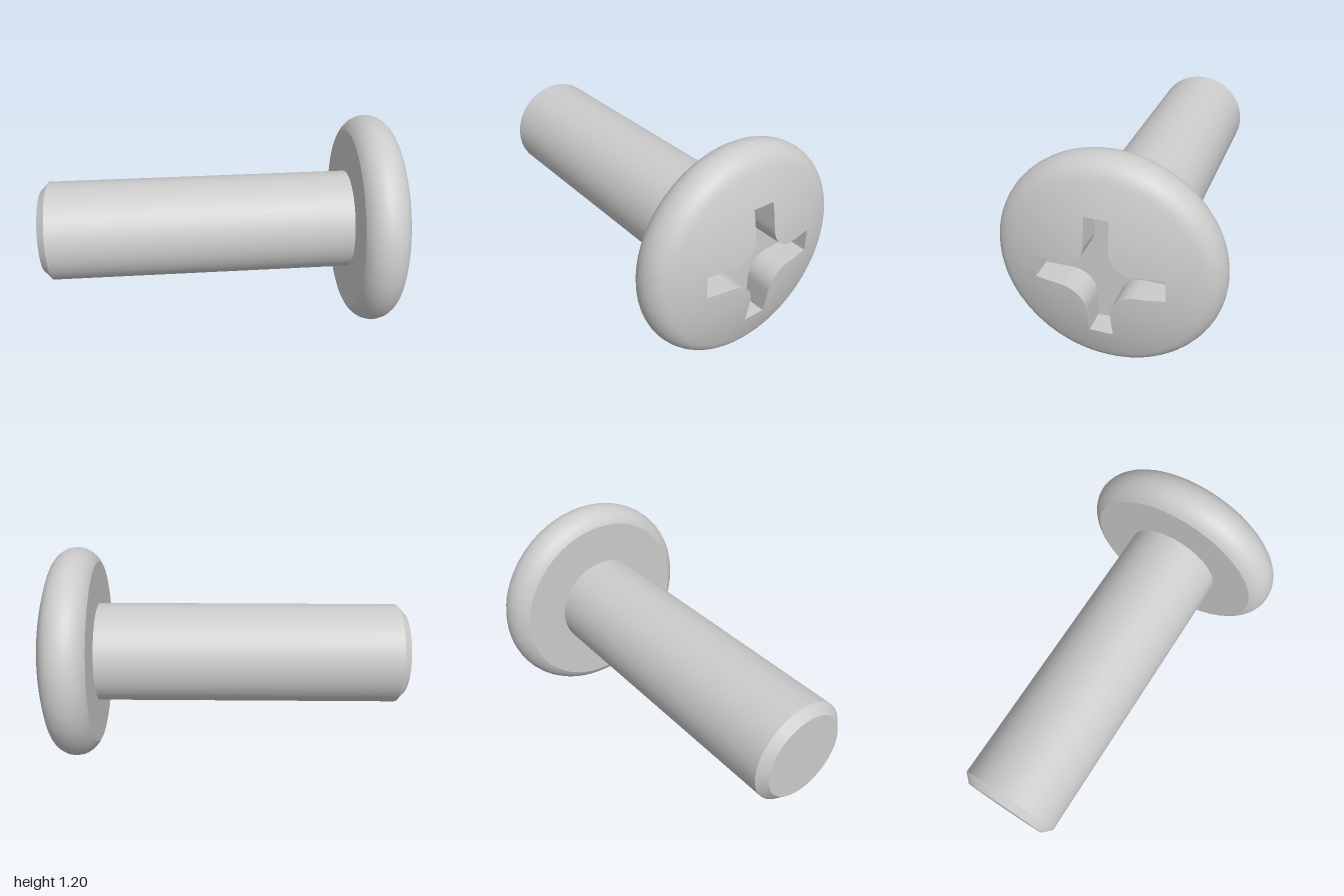
import * as THREE from 'three';
import { toCreasedNormals } from 'three/addons/utils/BufferGeometryUtils.js';

// Heights run along the screw axis, 0 at the start of the tail chamfer
const SHAFT_R = 0.282, UNDERSIDE = 1.705, APEX = 2.04, FLOOR = 1.874;
const RIM_C = 0.472, RIM_R = 0.13, RIM_Y = 1.825;   // circle that rounds the rim
const ARM_L = 0.337, ARM_W = 0.0625, FILLET = 0.1275; // cross recess

// Dome sphere: passes through the apex, tangent to the rim circle
const k = APEX - RIM_Y;
const DOME_R = (RIM_C ** 2 + k ** 2 - RIM_R ** 2) / (2 * (k - RIM_R));
const domeY = (r) => APEX - DOME_R + Math.sqrt(DOME_R ** 2 - r * r);

// Outline of the cross, one arm and one filleted inner corner per quarter turn
function crossOutline() {
  const quarter = [[ARM_L, 0], [ARM_L, ARM_W / 2], [ARM_L, ARM_W], [0.285, ARM_W], [0.235, ARM_W]];
  const c = ARM_W + FILLET, steps = 10;
  for (let i = 0; i <= steps; i++) {
    const t = -Math.PI / 2 * (1 + i / steps);
    quarter.push([c + FILLET * Math.cos(t), c + FILLET * Math.sin(t)]);
  }
  quarter.push([ARM_W, 0.235], [ARM_W, 0.285], [ARM_W, ARM_L], [ARM_W / 2, ARM_L]);
  const points = [];
  for (let q = 0; q < 4; q++) {
    for (const [x, z] of quarter) {
      points.push({ r: Math.hypot(x, z), a: Math.atan2(z, x) + q * Math.PI / 2 });
    }
  }
  return points;
}

// Head: rows go from the recess floor, up its wall, over the dome and rim, to the underside
function headGeometry() {
  const outline = crossOutline(), n = outline.length;
  const tangent = Math.asin(RIM_C / (DOME_R - RIM_R));
  const tangentR = RIM_C + RIM_R * Math.sin(tangent);
  const rows = [() => [0, FLOOR], (r) => [r, FLOOR]];
  for (let i = 0; i <= 8; i++) {
    rows.push((r) => {
      const rr = r + (tangentR - r) * i / 8;
      return [rr, domeY(rr)];
    });
  }
  const end = Math.PI - Math.acos((RIM_Y - UNDERSIDE) / RIM_R);
  for (let i = 1; i <= 14; i++) {
    const t = tangent + (end - tangent) * i / 14;
    rows.push(() => [RIM_C + RIM_R * Math.sin(t), RIM_Y + RIM_R * Math.cos(t)]);
  }
  rows.push(() => [0, UNDERSIDE]);

  const pos = [], index = [];
  for (const row of rows) {
    for (const { r, a } of outline) {
      const [rr, y] = row(r);
      pos.push(rr * Math.cos(a), y, rr * Math.sin(a));
    }
  }
  const last = rows.length - 2;
  for (let i = 0; i <= last; i++) {
    for (let j = 0; j < n; j++) {
      const j2 = (j + 1) % n;
      const a = i * n + j, d = i * n + j2, b = a + n, c = d + n;
      if (i !== last) index.push(a, c, b);
      if (i !== 0) index.push(a, d, c);
      // the centre fans keep only their non-empty triangle
      if (i === last) index[index.length - 1] = c;
    }
  }
  const g = new THREE.BufferGeometry();
  g.setAttribute('position', new THREE.Float32BufferAttribute(pos, 3));
  g.setIndex(index);
  return toCreasedNormals(g, 0.35);
}

// Shaft with a chamfered flat tail
function shaftGeometry() {
  const profile = [[0, -0.045], [0.235, -0.045], [SHAFT_R, 0], [SHAFT_R, UNDERSIDE + 0.02]];
  const g = new THREE.LatheGeometry(profile.map(([r, y]) => new THREE.Vector2(r, y)), 48);
  return toCreasedNormals(g, 0.35);
}

export function createModel() {
  const material = new THREE.MeshStandardMaterial({ color: 0xcccccc });
  const screw = new THREE.Group();
  screw.name = 'screw';
  const add = (name, geometry) => {
    const mesh = new THREE.Mesh(geometry, material);
    mesh.name = name;
    screw.add(mesh);
  };
  add('head', headGeometry());
  add('shaft', shaftGeometry());

  // Lay the axis level, pointing forward and to the left
  const axis = new THREE.Vector3(0.747, 0, 0.665).normalize();
  const up = new THREE.Vector3(0, 1, 0);
  const side = new THREE.Vector3().crossVectors(up, axis);
  screw.quaternion.setFromRotationMatrix(new THREE.Matrix4().makeBasis(up, axis, side));
  screw.position.set(-0.81, 0.602, -0.745);

  const model = new THREE.Group();
  model.name = 'panHeadScrew';
  model.add(screw);
  return model;
}
